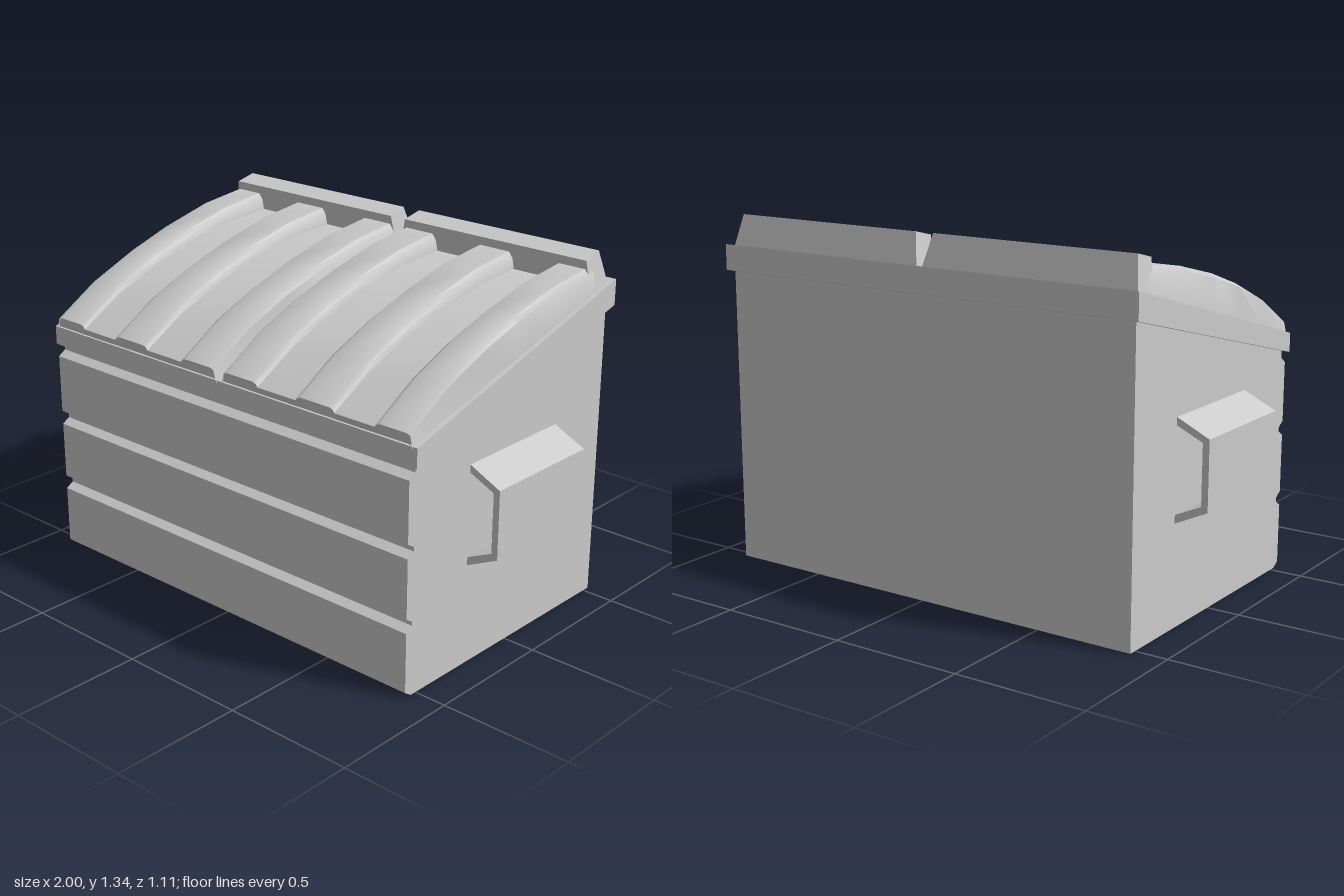
import * as THREE from 'three';
import { toCreasedNormals } from 'three/addons/utils/BufferGeometryUtils.js';

const material = new THREE.MeshStandardMaterial({ color: 0xcccccc });

function add(group, name, geometry) {
  const mesh = new THREE.Mesh(geometry, material);
  mesh.name = name;
  group.add(mesh);
}

const shapeOf = (points) => new THREE.Shape(points.map(([a, b]) => new THREE.Vector2(a, b)));

// Extrudes a side profile of [z, y] points from x0 to x1.
function extrudeX(points, x0, x1) {
  return new THREE.ExtrudeGeometry(shapeOf(points), { depth: x1 - x0, bevelEnabled: false })
    .rotateY(-Math.PI / 2)
    .translate(x1, 0, 0);
}

// Height of the sloping rim's upper face
const rimTop = (z) => 0.915 + (0.545 - z) * 0.283;

// Crown line of the lid ribs, front to back, as [z, y]
const crown = [[0.548, 0.957], [0.37, 1.066], [0.18, 1.147], [0, 1.206], [-0.22, 1.26], [-0.425, 1.284], [-0.45, 1.286]];

// Cross-section of one lid: [x, h], h = 1 rib crown, 0 valley, -1 lower edge
function lidSection() {
  const section = [[0.012, -1]];
  for (const [a, b] of [[0.02, 0.19], [0.37, 0.545], [0.72, 0.875]]) {
    if (a > 0.1) section.push([a, 0]);
    section.push([a + 0.006, 0.65], [a + 0.022, 1], [b - 0.022, 1], [b - 0.006, 0.65]);
    if (b < 0.8) section.push([b, 0]);
  }
  section.push([0.88, -1]);
  return section;
}

function lidGeometry(side) {
  let section = lidSection();
  if (side < 0) section = section.map(([x, h]) => [-x, h]).reverse();
  const positions = [], index = [], n = section.length;

  // Front edge drops to the rim
  for (const [x] of section) positions.push(x, 0.912, 0.537);
  for (const [z, y] of crown) {
    const depth = 0.015 + (0.548 - z) * 0.05;
    for (const [x, h] of section) {
      positions.push(x, h < 0 ? rimTop(z) - 0.008 : y - depth * (1 - h), z);
    }
  }
  for (let j = 0; j < crown.length; j++) {
    for (let i = 0; i < n - 1; i++) {
      const a = j * n + i, b = a + 1, c = b + n, d = a + n;
      index.push(a, b, c, a, c, d);
    }
  }
  const geometry = new THREE.BufferGeometry();
  geometry.setAttribute('position', new THREE.Float32BufferAttribute(positions, 3));
  geometry.setIndex(index);
  return toCreasedNormals(geometry, 0.75);
}

// Raised bar behind each lid, with ends that lean inwards towards the top
function barGeometry(side) {
  const profile = [[-0.425, 1.18], [-0.415, 1.315], [-0.495, 1.335], [-0.53, 1.205]];
  const geometry = extrudeX(profile, side > 0 ? 0 : -1, side > 0 ? 1 : 0);
  const p = geometry.attributes.position;
  for (let i = 0; i < p.count; i++) {
    const t = THREE.MathUtils.clamp((p.getY(i) - 1.2) / 0.13, 0, 1);
    const outer = Math.abs(p.getX(i)) > 0.5;
    p.setX(i, side * (outer ? 0.88 - 0.025 * t : 0.008 + 0.03 * t));
  }
  geometry.computeVertexNormals();
  return geometry;
}

// Open fork pocket, bent from plate and running front to back
function pocketGeometry(side) {
  const outline = [
    [0.87, 0.757], [1, 0.695], [1, 0.44], [0.87, 0.378],
    [0.87, 0.409], [0.975, 0.457], [0.975, 0.68], [0.87, 0.728],
  ].map(([x, y]) => [side * x, y]);
  return new THREE.ExtrudeGeometry(shapeOf(outline), { depth: 0.487, bevelEnabled: false })
    .translate(0, 0, -0.252);
}

export function createModel() {
  const group = new THREE.Group();
  group.name = 'dumpster';

  // Bin with pressed grooves across the front
  const bin = [[-0.53, 0], [0.525, 0], [0.555, 0.02]];
  for (const y of [0.272, 0.547]) {
    bin.push([0.555, y - 0.027], [0.525, y - 0.008], [0.525, y + 0.008], [0.555, y + 0.027]);
  }
  bin.push([0.555, 0.8], [0.525, 0.82], [0.525, 0.87], [-0.53, 1.145]);
  add(group, 'bin', extrudeX(bin, -0.875, 0.875));

  // Sloping rim
  const rim = [[0.545, 0.843], [0.545, rimTop(0.545)], [-0.553, rimTop(-0.553)], [-0.553, 1.129]];
  add(group, 'rim', extrudeX(rim, -0.897, 0.897));

  // Paired lids, rear bars and fork pockets
  for (const [side, label] of [[1, 'left'], [-1, 'right']]) {
    add(group, label + 'Lid', lidGeometry(side));
    add(group, label + 'LidBar', barGeometry(side));
    add(group, label + 'ForkPocket', pocketGeometry(side));
  }
  return group;
}
